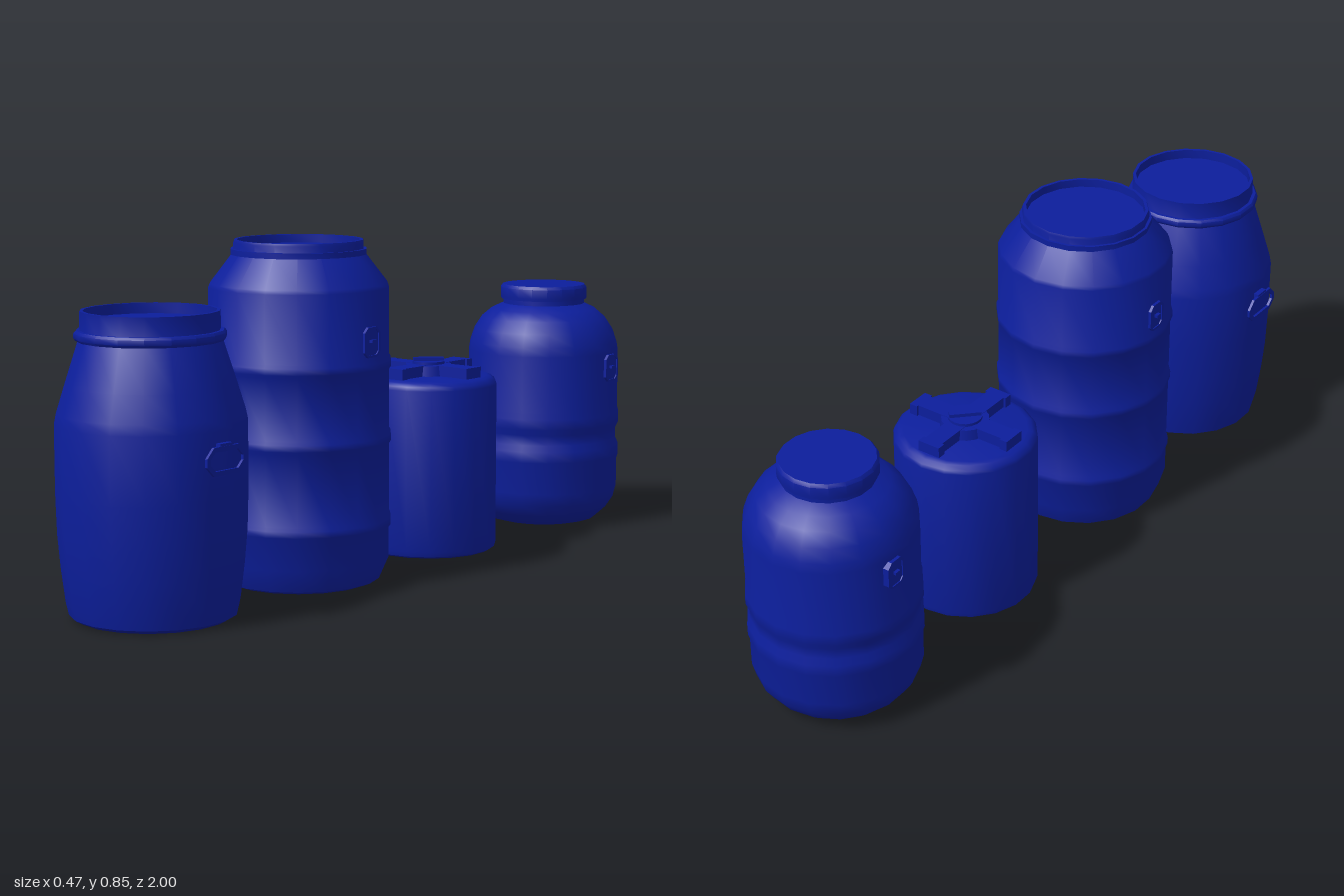
import * as THREE from 'three';
import { toCreasedNormals } from 'three/addons/utils/BufferGeometryUtils.js';

const material = new THREE.MeshStandardMaterial({ color: 0x0c1e9c });
const SIDES = 18;

function add(parent, name, geometry, x = 0, y = 0, z = 0) {
  const mesh = new THREE.Mesh(geometry, material);
  mesh.name = name;
  mesh.position.set(x, y, z);
  parent.add(mesh);
  return mesh;
}

// Turned body from [radius, height] pairs, bottom to top
function turned(profile) {
  const points = profile.map(([r, y]) => new THREE.Vector2(r, y));
  return toCreasedNormals(new THREE.LatheGeometry(points, SIDES), 0.7);
}

// Plate with clipped corners, optionally with an opening
function clippedOutline(Kind, w, h, c) {
  const path = new Kind();
  const corners = [
    [-w + c, -h], [w - c, -h], [w, -h + c], [w, h - c],
    [w - c, h], [-w + c, h], [-w, h - c], [-w, -h + c],
  ];
  corners.forEach(([x, y], i) => (i ? path.lineTo(x, y) : path.moveTo(x, y)));
  path.closePath();
  return path;
}

function plate(w, h, clip, depth, border = 0) {
  const shape = clippedOutline(THREE.Shape, w, h, clip);
  if (border) shape.holes.push(clippedOutline(THREE.Path, w - border, h - border, clip * 0.7));
  return new THREE.ExtrudeGeometry(shape, { depth, bevelEnabled: false });
}

// Calls build() for a group on each side whose local +z points outward
function bothSides(parent, name, radius, y, z, build) {
  for (const side of [-1, 1]) {
    const group = new THREE.Group();
    group.name = name;
    group.position.set(side * radius, y, z);
    group.rotation.y = side * Math.PI / 2;
    build(group);
    parent.add(group);
  }
}

// Framed badge with a small central stud
function badge(group, reach) {
  add(group, 'badgePlate', plate(0.026, 0.036, 0.012, 0.014), 0, 0, -0.01);
  add(group, 'badgeFrame', plate(0.029, 0.037, 0.013, 0.017, 0.006), 0, 0, -0.01);
  add(group, 'badgeStud', new THREE.BoxGeometry(0.016, 0.007, reach), 0, 0.003, reach / 2);
}

function taperedBarrel() {
  const barrel = new THREE.Group();
  barrel.name = 'taperedBarrel';
  add(barrel, 'body', turned([
    [0, 0], [0.18, 0], [0.198, 0.01], [0.205, 0.04], [0.215, 0.12], [0.222, 0.2],
    [0.225, 0.3], [0.225, 0.46], [0.22, 0.485], [0.2, 0.55], [0.168, 0.65],
    [0.163, 0.66], [0.163, 0.72], [0.155, 0.72], [0.155, 0.695], [0, 0.695],
  ]));
  add(barrel, 'clampRing', turned([
    [0.162, 0.651], [0.172, 0.651], [0.177, 0.657], [0.177, 0.669],
    [0.172, 0.675], [0.162, 0.675],
  ]));
  // Carrying handles
  bothSides(barrel, 'handle', 0.222, 0.395, 0, (group) => {
    add(group, 'handleLoop', plate(0.065, 0.033, 0.023, 0.007, 0.011), 0, 0, 0.008);
    add(group, 'handleBracket', new THREE.BoxGeometry(0.04, 0.018, 0.02), 0, 0.03, 0.004);
  });
  return barrel;
}

function ribbedBarrel() {
  const barrel = new THREE.Group();
  barrel.name = 'ribbedBarrel';
  const ribs = [0.155, 0.365, 0.55].flatMap((y) => [
    [0.225, y - 0.016], [0.23, y - 0.008], [0.23, y + 0.008], [0.225, y + 0.016],
  ]);
  add(barrel, 'body', turned([
    [0, 0], [0.18, 0], [0.2, 0.008], [0.225, 0.065], ...ribs,
    [0.225, 0.735], [0.221, 0.745], [0.167, 0.815], [0.162, 0.82],
    [0.162, 0.845], [0.16, 0.851], [0.152, 0.851], [0.152, 0.83], [0, 0.83],
  ]));
  add(barrel, 'clampRing', turned([
    [0.16, 0.815], [0.169, 0.815], [0.169, 0.829], [0.16, 0.829],
  ]));
  bothSides(barrel, 'sideBadge', 0.222, 0.612, -0.008, (group) => badge(group, 0.013));
  return barrel;
}

function lowDrum() {
  const drum = new THREE.Group();
  drum.name = 'lowDrum';
  add(drum, 'body', turned([
    [0, 0], [0.168, 0], [0.177, 0.005], [0.181, 0.018], [0.181, 0.44],
    [0.178, 0.45], [0.167, 0.459], [0.155, 0.463], [0, 0.463],
  ]));
  // Raised cross on the lid with a wider foot at each arm's end
  for (let i = 0; i < 4; i++) {
    const arm = new THREE.Group();
    arm.name = 'lidArm';
    arm.rotation.y = i * Math.PI / 2;
    add(arm, 'armBar', new THREE.BoxGeometry(0.11, 0.034, 0.05), 0.085, 0.474, 0);
    add(arm, 'armEnd', new THREE.BoxGeometry(0.022, 0.034, 0.062), 0.138, 0.474, 0);
    drum.add(arm);
  }
  add(drum, 'plugCollar', new THREE.CylinderGeometry(0.06, 0.064, 0.03, SIDES), 0, 0.475, 0);
  add(drum, 'plug', new THREE.CylinderGeometry(0.043, 0.043, 0.02, SIDES), 0, 0.488, 0);
  add(drum, 'plugGrip', new THREE.BoxGeometry(0.08, 0.012, 0.018), 0, 0.501, 0).rotation.y = Math.PI / 4;
  return drum;
}

function roundedBarrel() {
  const barrel = new THREE.Group();
  barrel.name = 'roundedBarrel';
  add(barrel, 'body', turned([
    [0, 0], [0.12, 0], [0.15, 0.008], [0.18, 0.035], [0.2, 0.065], [0.209, 0.1],
    [0.209, 0.175], [0.213, 0.188], [0.213, 0.218], [0.205, 0.235], [0.205, 0.263],
    [0.213, 0.28], [0.213, 0.308], [0.209, 0.325], [0.209, 0.48], [0.205, 0.505],
    [0.193, 0.54], [0.172, 0.572], [0.145, 0.595], [0.113, 0.61], [0.113, 0.63],
  ]));
  add(barrel, 'screwLid', turned([
    [0.105, 0.623], [0.119, 0.623], [0.12, 0.63], [0.12, 0.655], [0.114, 0.663], [0, 0.663],
  ]));
  bothSides(barrel, 'sideBadge', 0.207, 0.44, -0.028, (group) => badge(group, 0.012));
  return barrel;
}

export function createModel() {
  const model = new THREE.Group();
  model.name = 'barrelRow';
  const row = [
    [taperedBarrel, 0.775], [ribbedBarrel, 0.255], [lowDrum, -0.265], [roundedBarrel, -0.787],
  ];
  for (const [build, z] of row) {
    const barrel = build();
    barrel.position.z = z;
    model.add(barrel);
  }
  return model;
}
